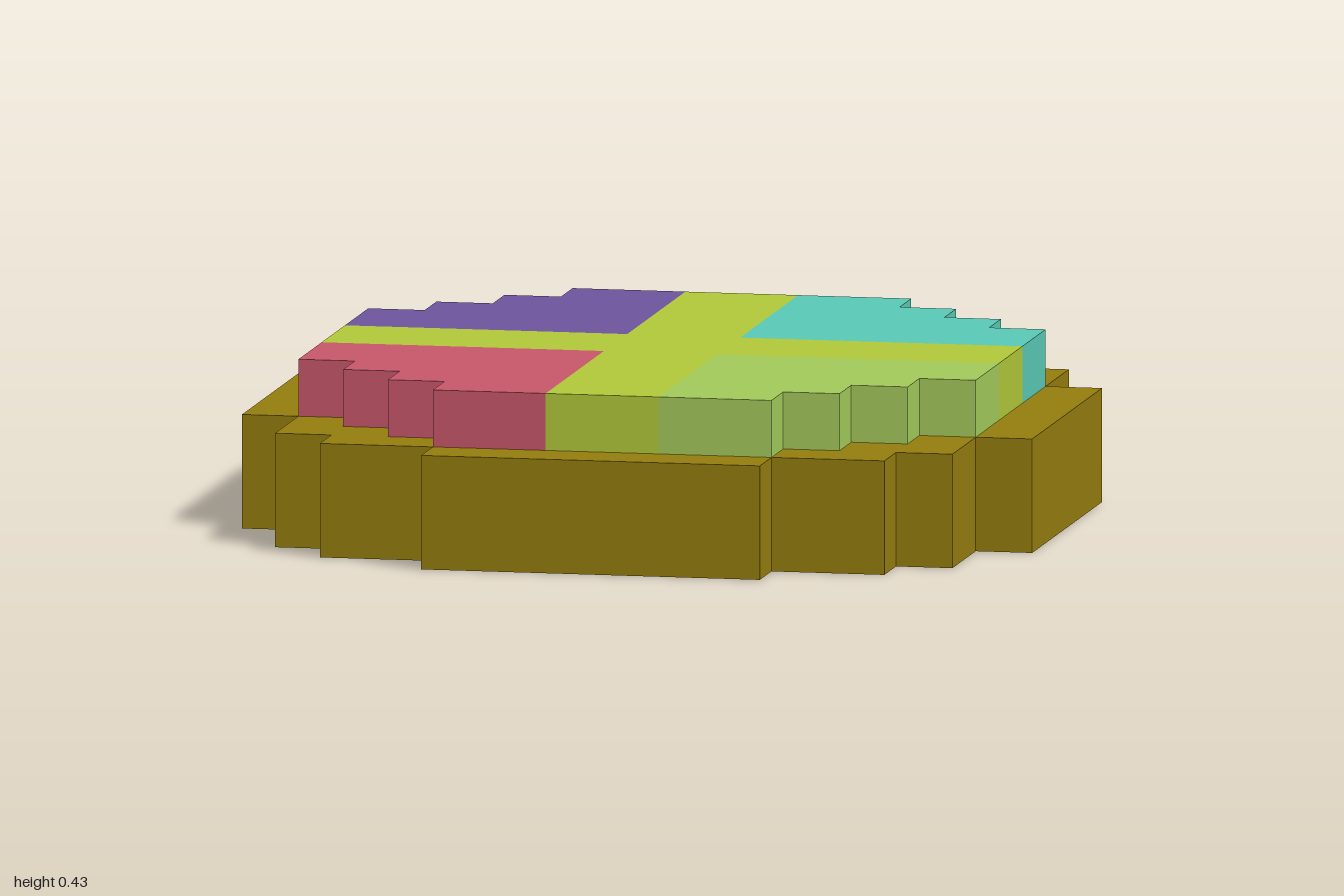
import * as THREE from 'three';

const U = 1 / 7; // size of one block

const material = (name, color) => Object.assign(new THREE.MeshStandardMaterial({ color }), { name });

// Repeats a quarter outline (in blocks) four times around the centre
function outline(quarter) {
  const points = [];
  for (let k = 0; k < 4; k++) {
    for (const [x, y] of quarter) {
      const [px, py] = [[x, y], [-y, x], [-x, -y], [y, -x]][k];
      points.push(new THREE.Vector2(px * U, py * U));
    }
  }
  return points;
}

// Upright slab from an outline, between two heights in blocks
function slab(name, points, bottom, top, mat, hole) {
  const shape = new THREE.Shape(points);
  if (hole) shape.holes.push(new THREE.Path(hole));
  const geometry = new THREE.ExtrudeGeometry(shape, { depth: (top - bottom) * U, bevelEnabled: false });
  geometry.rotateX(-Math.PI / 2).translate(0, bottom * U, 0);
  const mesh = new THREE.Mesh(geometry, mat);
  mesh.name = name;
  return mesh;
}

export function createModel() {
  const group = new THREE.Group();
  group.name = 'fourColourButton';

  const rimSteps = [[7, 3], [6, 3], [6, 5], [5, 5], [5, 6], [3, 6], [3, 7]];
  const discSteps = [[6, 3], [5, 3], [5, 4], [4, 4], [4, 5], [3, 5], [3, 6]];
  const disc = outline(discSteps);

  // Base: stepped rim around a flush core
  group.add(slab('rim', outline(rimSteps), 0, 2, material('brown', 0x957d0e), disc));
  group.add(slab('core', disc, 0, 2, material('olive', 0xb1a50f)));

  // Raised cross
  group.add(slab('cross', outline([[6, 1], [1, 1], [1, 6]]), 2, 3, material('lime', 0xb2c93a)));

  // Four coloured pads between the arms of the cross
  const pad = [[1, 1], [6, 1], ...discSteps, [1, 6]].map(([x, y]) => new THREE.Vector2(x * U, y * U));
  const pads = [
    ['backLeftPad', 'teal', 0x5acab6],
    ['backRightPad', 'purple', 0x6e559e],
    ['frontRightPad', 'red', 0xc9586a],
    ['frontLeftPad', 'green', 0xa4cb5b],
  ];
  pads.forEach(([name, colourName, color], k) => {
    const mesh = slab(name, pad, 2, 3, material(colourName, color));
    mesh.rotation.y = k * Math.PI / 2;
    group.add(mesh);
  });

  return group;
}
